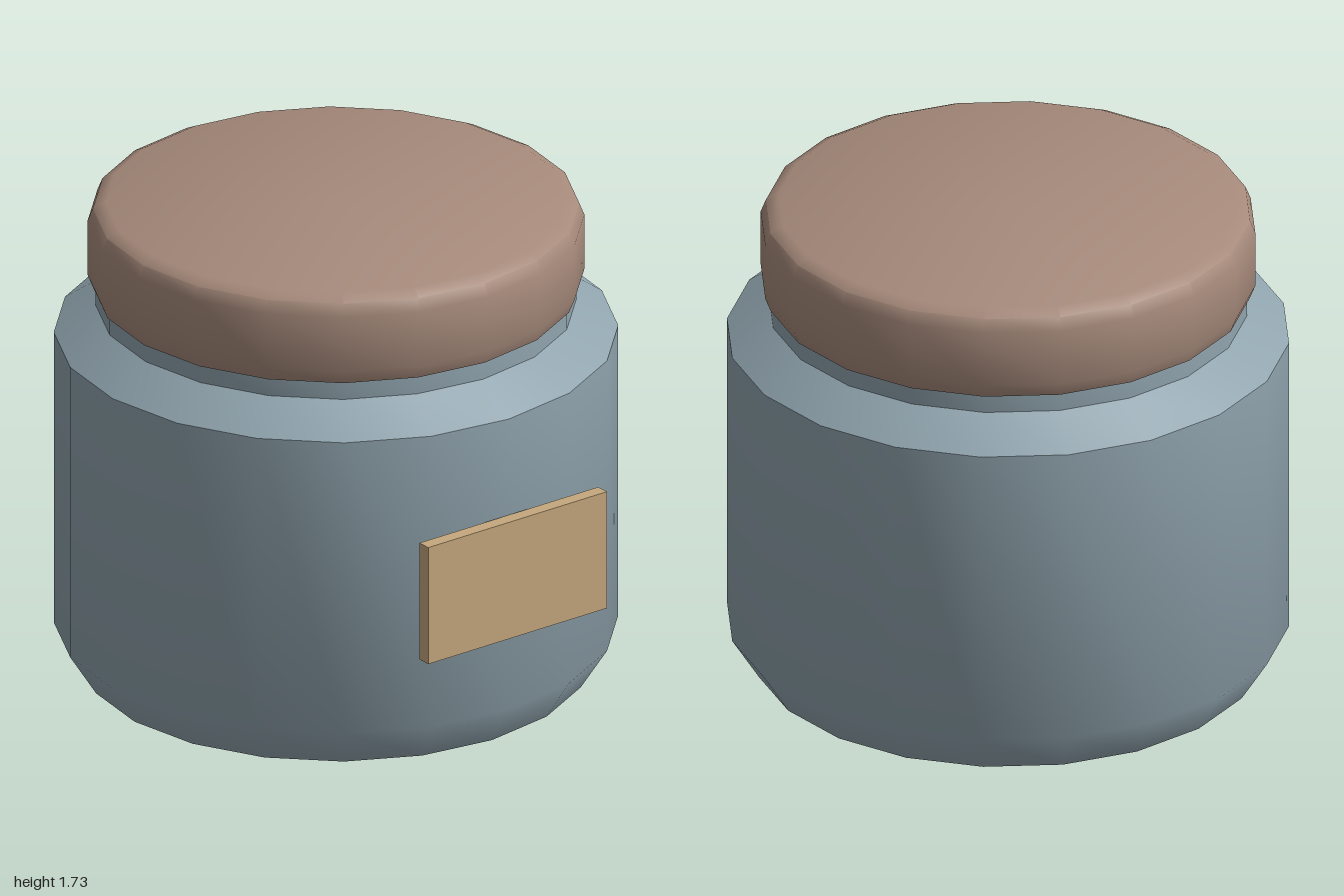
import * as THREE from 'three';
import { toCreasedNormals } from 'three/addons/utils/BufferGeometryUtils.js';

const SIDES = 20;

const material = (name, color) => {
  const m = new THREE.MeshStandardMaterial({ color });
  m.name = name;
  return m;
};

// Turned part: soft bevels stay smooth, steep corners stay sharp
function turned(name, profile, mat) {
  const points = profile.map(([r, y]) => new THREE.Vector2(r, y));
  const geometry = toCreasedNormals(new THREE.LatheGeometry(points, SIDES), 0.72);
  const mesh = new THREE.Mesh(geometry, mat);
  mesh.name = name;
  mesh.position.z = -0.025;
  return mesh;
}

export function createModel() {
  const model = new THREE.Group();
  model.name = 'jar';
  const glaze = material('blue grey glaze', 0x90a4ae);
  const wood = material('brown lid', 0xa68a7b);
  const paper = material('tan label', 0xc4a77d);

  // Body with chamfered foot, sloped shoulder and short neck
  model.add(turned('body', [
    [0, 0], [0.88, 0], [0.975, 0.15], [0.975, 1.245], [0.83, 1.345], [0.83, 1.42],
  ], glaze));

  // Lid with rounded rim
  model.add(turned('lid', [
    [0, 1.41], [0.838, 1.41], [0.858, 1.46], [0.858, 1.665],
    [0.84, 1.71], [0.795, 1.733], [0, 1.733],
  ], wood));

  // Raised label plate on the front
  const label = new THREE.Mesh(new THREE.BoxGeometry(0.78, 0.44, 0.05), paper);
  label.name = 'label';
  label.position.set(0, 0.663, 0.975);
  model.add(label);

  return model;
}
